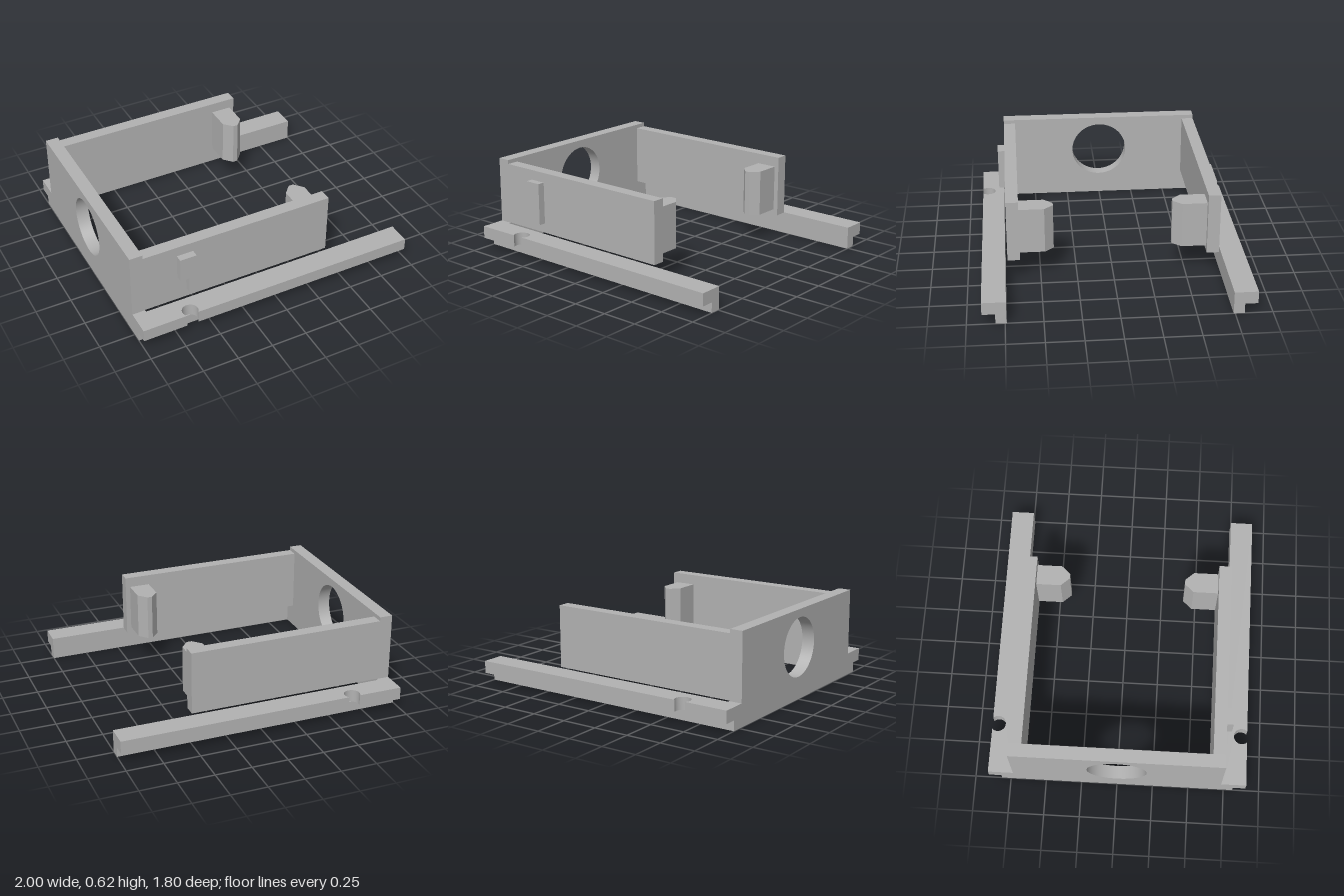
import * as THREE from 'three';
import { toCreasedNormals } from 'three/addons/utils/BufferGeometryUtils.js';

export function createModel() {
  const group = new THREE.Group();
  const gray = new THREE.MeshStandardMaterial({ color: 0xb2b2b2 });
  gray.name = 'plainGray';

  const add = (name, geometry) => {
    const mesh = new THREE.Mesh(geometry, gray);
    mesh.name = name;
    group.add(mesh);
  };
  const box = (name, x0, x1, y0, y1, z0, z1) =>
    add(name, new THREE.BoxGeometry(x1 - x0, y1 - y0, Math.abs(z1 - z0))
      .translate((x0 + x1) / 2, (y0 + y1) / 2, (z0 + z1) / 2));
  const shapeOf = (points) => new THREE.Shape(points.map(([x, y]) => new THREE.Vector2(x, y)));
  const extrude = (shape, depth) => new THREE.ExtrudeGeometry(shape, { depth, bevelEnabled: false, curveSegments: 32 });
  // Plan outline in (x, z), raised from y0 to y1
  const plan = (name, points, side, y0, y1) => {
    const g = extrude(shapeOf(points.map(([x, z]) => [x, -side * z])), y1 - y0);
    add(name, toCreasedNormals(g.rotateX(-Math.PI / 2).translate(0, y0, 0), 0.5));
  };

  // End plate with a round opening, outlined in (z, y)
  const plate = shapeOf([[-0.74, 0], [0.74, 0], [0.74, 0.157], [0.725, 0.157],
    [0.725, 0.623], [-0.725, 0.623], [-0.725, 0.157], [-0.74, 0.157]]);
  plate.holes.push(new THREE.Path().absarc(0, 0.362, 0.205, 0, Math.PI * 2, true));
  add('endPlate', toCreasedNormals(extrude(plate, 0.09).rotateY(-Math.PI / 2).translate(-0.91, 0, 0), 0.5));

  // Rail flange outline with a round notch in its outer edge
  const flange = [[-1, 0.74], [1, 0.74], [1, 0.9]];
  const open = Math.asin(0.04 / 0.055);
  for (let i = 0; i <= 24; i++) {
    const a = Math.PI / 2 - open - (i / 24) * (Math.PI * 2 - 2 * open);
    flange.push([-0.65 + 0.055 * Math.cos(a), 0.86 + 0.055 * Math.sin(a)]);
  }
  flange.push([-1, 0.9]);

  // Pointed clip outline
  const clip = [[0.277, 0.64], [0.277, 0.467], [0.333, 0.406], [0.367, 0.406], [0.422, 0.467], [0.422, 0.64]];

  for (const side of [1, -1]) {
    const name = side > 0 ? 'front' : 'back';
    plan(name + 'RailFlange', flange, side, 0.07, 0.157);
    box(name + 'RailWeb', -1, 1, 0, 0.07, side * 0.74, side * 0.813);
    box(name + 'Wall', -0.91, 0.455, 0.16, 0.595, side * 0.64, side * 0.725);
    plan(name + 'Clip', clip, side, 0.2, 0.523);
  }

  // Stepped tab on the front wall
  const tab = shapeOf([[-0.673, 0.35], [-0.61, 0.35], [-0.61, 0.228], [-0.556, 0.228],
    [-0.556, 0.525], [-0.673, 0.525]]);
  add('wallTab', extrude(tab, 0.05).translate(0, 0, 0.725));

  return group;
}
